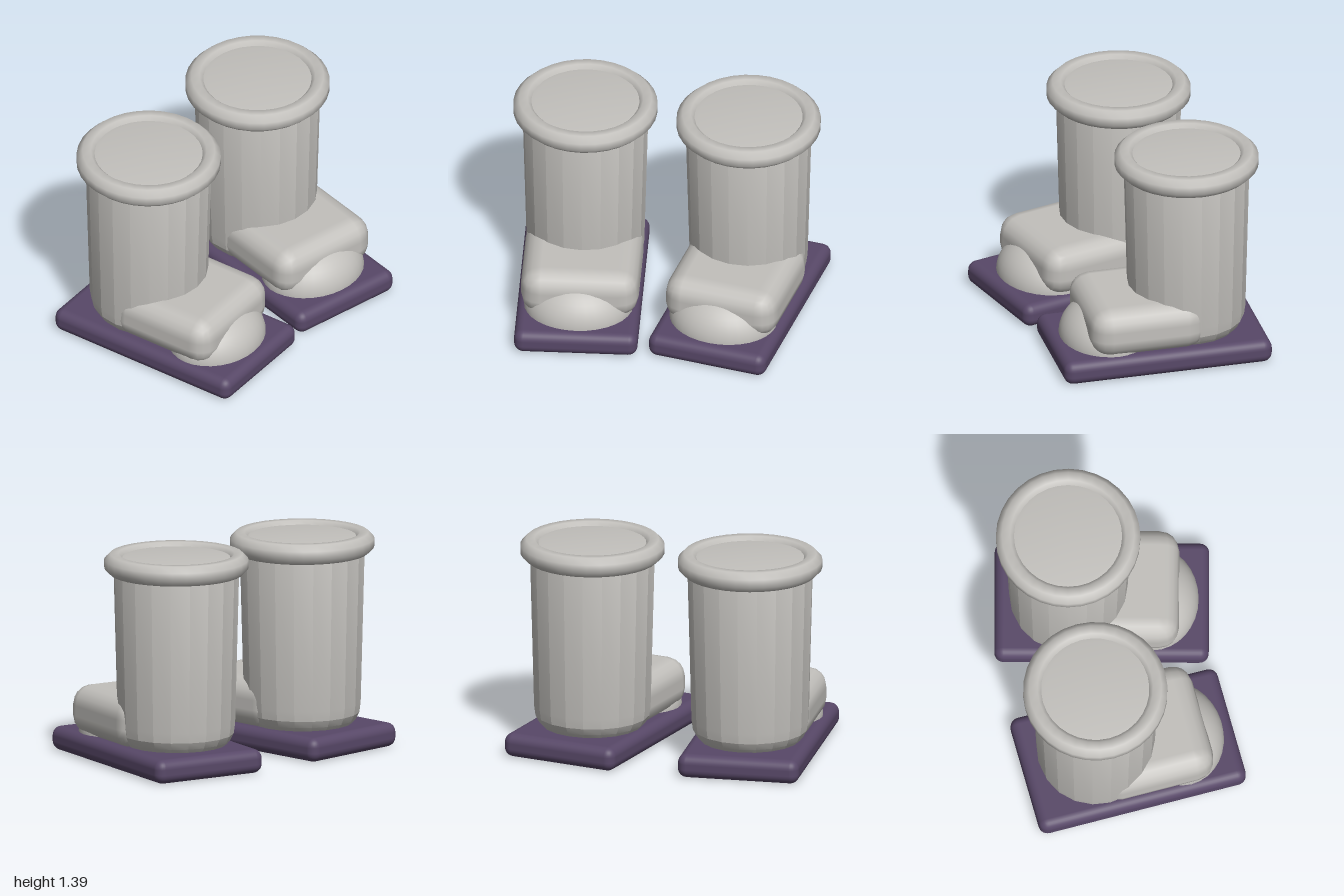
import * as THREE from 'three';
import { toCreasedNormals } from 'three/addons/utils/BufferGeometryUtils.js';
import { RoundedBoxGeometry } from 'three/addons/geometries/RoundedBoxGeometry.js';

const fabric = new THREE.MeshStandardMaterial({ color: 0xc2c0bc });
fabric.name = 'pale grey';
const rubber = new THREE.MeshStandardMaterial({ color: 0x584868 });
rubber.name = 'dark purple';

function part(name, geometry, material, x, y, z) {
  const mesh = new THREE.Mesh(geometry, material);
  mesh.name = name;
  mesh.position.set(x, y, z);
  return mesh;
}

// Faceted leg, rounded in at the heel and closed at the top
function shaftGeometry() {
  const profile = [
    [0, 0.14], [0.31, 0.14], [0.345, 0.18], [0.368, 0.225], [0.377, 0.29],
    [0.402, 1.25], [0.392, 1.29], [0.355, 1.365], [0.32, 1.37], [0, 1.375],
  ].map(([r, y]) => new THREE.Vector2(r, y));
  return toCreasedNormals(new THREE.LatheGeometry(profile, 20), 0.28);
}

// Smooth cuff ring with an eight-sided section
function cuffGeometry() {
  const section = [];
  for (let i = 0; i <= 8; i++) {
    const a = Math.PI * (1.125 + i / 4);
    section.push(new THREE.Vector2(0.397 + 0.07 * Math.cos(a), 0.07 * Math.sin(a)));
  }
  return new THREE.LatheGeometry(section, 32);
}

function createBoot(name, x, turn, shaftShift) {
  const boot = new THREE.Group();
  boot.name = name;
  boot.position.x = x;
  boot.rotation.y = turn;

  boot.add(part('sole', new RoundedBoxGeometry(0.79, 0.155, 1.37, 4, 0.06), rubber, 0, 0.0775, 0));
  boot.add(part('foot', new RoundedBoxGeometry(0.755, 0.325, 0.76, 2, 0.13), fabric, 0.01, 0.3025, 0.115));

  // Half dome over the toes
  const toe = part('toeCap', new THREE.SphereGeometry(1, 32, 12, 0, Math.PI * 2, 0, Math.PI / 2), fabric, 0, 0.15, 0.325);
  toe.scale.set(0.35, 0.25, 0.295);
  boot.add(toe);

  boot.add(part('shaft', shaftGeometry(), fabric, shaftShift, 0, -0.215));
  boot.add(part('cuff', cuffGeometry(), fabric, shaftShift, 1.326, -0.215));
  return boot;
}

export function createModel() {
  const model = new THREE.Group();
  model.name = 'boots';
  // Both boots toe in, the left one a little more
  model.add(createBoot('rightBoot', -0.523, 0.1, 0.01));
  model.add(createBoot('leftBoot', 0.5, -0.17, -0.015));
  return model;
}
